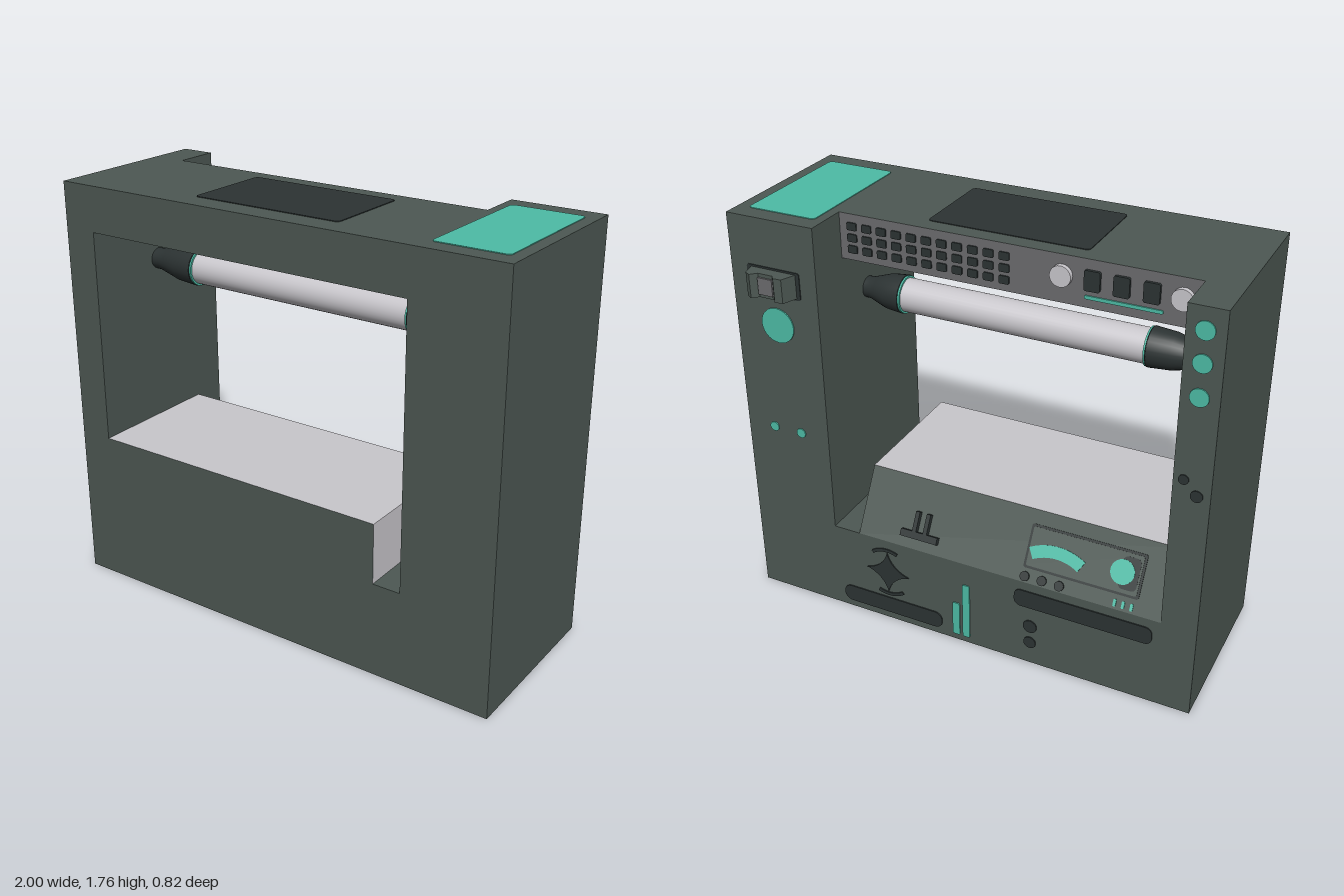
import * as THREE from 'three';

const mat = (name, color) => Object.assign(new THREE.MeshStandardMaterial({ color }), { name });

export function createModel() {
  const body = mat('body green grey', 0x4d5853);
  const dark = mat('dark charcoal', 0x2c3333);
  const teal = mat('teal', 0x4dbca6);
  const light = mat('light grey', 0xc9c7cc);
  const grey = mat('panel grey', 0x6c6c6f);

  const model = new THREE.Group();
  model.name = 'machine';
  const BACK = -0.335, FRONT = 0.41, TOP = 1.755;

  const add = (parent, name, geo, material, x = 0, y = 0, z = 0) => {
    const m = new THREE.Mesh(geo, material);
    m.name = name;
    m.position.set(x, y, z);
    parent.add(m);
    return m;
  };
  // box given by its limits
  const block = (parent, name, material, x0, x1, y0, y1, z0, z1) =>
    add(parent, name, new THREE.BoxGeometry(x1 - x0, y1 - y0, z1 - z0), material,
      (x0 + x1) / 2, (y0 + y1) / 2, (z0 + z1) / 2);
  // surface group whose local -z points outwards
  const face = (name, y, z, rx = 0) => {
    const g = new THREE.Group();
    g.name = name;
    g.position.set(0, y, z);
    g.rotation.x = rx;
    model.add(g);
    return g;
  };
  // thin plate standing out from a face
  const plate = (parent, name, shape, material, x, y, depth = 0.005) =>
    add(parent, name, new THREE.ExtrudeGeometry(shape, { depth, bevelEnabled: false, curveSegments: 14 }),
      material, x, y, -depth);
  const rounded = (w, h, r) => {
    const s = new THREE.Shape(), a = w / 2, b = h / 2;
    s.absarc(a - r, b - r, r, 0, Math.PI / 2);
    s.absarc(-a + r, b - r, r, Math.PI / 2, Math.PI);
    s.absarc(-a + r, -b + r, r, Math.PI, Math.PI * 1.5);
    s.absarc(a - r, -b + r, r, Math.PI * 1.5, Math.PI * 2);
    return s;
  };
  const disc = (r) => new THREE.Shape().absarc(0, 0, r, 0, Math.PI * 2);
  const arcBand = (r0, r1, a0, a1) =>
    new THREE.Shape().absarc(0, 0, r1, a0, a1, false).absarc(0, 0, r0, a1, a0, true);

  // frame
  block(model, 'leftPillar', body, 0.61, 1, 0, TOP, BACK, FRONT);
  block(model, 'rightPillar', body, -1, -0.855, 0, TOP, BACK, FRONT);
  block(model, 'base', body, -0.855, 0.61, 0, 0.405, BACK, FRONT);
  const bar = block(model, 'topBar', body, -0.855, 0.61, 1.565, TOP, -0.145, FRONT);
  bar.material = [body, body, body, body, body, grey];

  // desk block with its back sloped
  const desk = block(model, 'desk', body, -0.855, 0.49, 0.405, 0.662, BACK, FRONT);
  const p = desk.geometry.attributes.position;
  for (let i = 0; i < p.count; i++) if (p.getY(i) > 0 && p.getZ(i) < 0) p.setZ(i, p.getZ(i) + 0.15);
  desk.geometry.computeVertexNormals();
  desk.material = [light, body, light, body, body, body];

  // roller with tapered end caps
  const roller = new THREE.Group();
  roller.name = 'roller';
  roller.position.set(0, 1.37, 0.035);
  model.add(roller);
  const tube = add(roller, 'rollerTube', new THREE.CylinderGeometry(0.07, 0.07, 1.06, 32), light, -0.095);
  tube.rotation.z = Math.PI / 2;
  for (const [x, wall, side, name] of [[0.43, 0.61, 1, 'left'], [-0.62, -0.855, -1, 'right']]) {
    const len = Math.abs(wall - x);
    const profile = [[0, 0], [0.08, 0], [0.08, 0.02], [0.073, 0.4], [0.055, 0.7], [0.046, 0.85], [0.044, 1]]
      .map(([r, t]) => new THREE.Vector2(r, t * len));
    const cap = add(roller, name + 'RollerCap', new THREE.LatheGeometry(profile, 28), dark, x);
    cap.rotation.z = -side * Math.PI / 2;
    const ring = add(roller, name + 'RollerRing', new THREE.CylinderGeometry(0.078, 0.078, 0.008, 28), teal, x - side * 0.004);
    ring.rotation.z = Math.PI / 2;
  }

  // top plates
  const top = face('topPlates', TOP, 0, Math.PI / 2);
  plate(top, 'tealTopPlate', rounded(0.3, 0.59, 0.018), teal, 0.8, 0.037, 0.003);
  plate(top, 'darkTopPlate', rounded(0.66, 0.385, 0.018), dark, -0.07, 0.118, 0.003);

  // control panel: key grid, buttons, knobs
  const panel = face('controlPanel', 0, -0.145);
  for (let c = 0; c < 11; c++)
    for (let r = 0; r < 3; r++)
      plate(panel, 'key', rounded(0.042, 0.032, 0.006), dark, 0.555 - c * 0.065, 1.705 - r * 0.047, 0.006);
  for (const x of [-0.325, -0.785]) {
    const knob = add(panel, 'panelKnob', new THREE.CylinderGeometry(0.042, 0.042, 0.02, 24), light, x, 1.675, -0.01);
    knob.rotation.x = Math.PI / 2;
  }
  for (const x of [-0.445, -0.557, -0.67])
    plate(panel, 'panelButton', rounded(0.062, 0.08, 0.008), dark, x, 1.675, 0.012);
  plate(panel, 'panelStripe', rounded(0.3, 0.014, 0.006), teal, -0.565, 1.607);

  // back face details
  const back = face('backDetails', 0, BACK);
  for (const [x, y, r, m] of [
    [0.805, 1.313, 0.075, teal], [0.87, 0.834, 0.021, teal], [0.74, 0.834, 0.021, teal],
    [-0.925, 1.668, 0.036, teal], [-0.925, 1.544, 0.036, teal], [-0.925, 1.413, 0.036, teal],
    [-0.895, 1.073, 0.02, dark], [-0.948, 1.015, 0.024, dark],
    [-0.307, 0.19, 0.03, dark], [-0.307, 0.107, 0.027, dark]])
    plate(back, 'backDot', disc(r), m, x, y);
  plate(back, 'lowerSlot', rounded(0.48, 0.078, 0.035), dark, 0.34, 0.072);
  plate(back, 'upperSlot', rounded(0.59, 0.08, 0.03), dark, -0.53, 0.325);
  plate(back, 'shortBar', rounded(0.033, 0.165, 0.008), teal, 0.032, 0.112);
  plate(back, 'tallBar', rounded(0.033, 0.27, 0.008), teal, -0.015, 0.165);

  // four pointed star between two arcs
  const star = new THREE.Shape().moveTo(0.1, 0);
  for (let i = 1; i <= 4; i++) {
    const a = i * Math.PI / 2, m = a - Math.PI / 4;
    star.quadraticCurveTo(0.03 * Math.cos(m), 0.03 * Math.sin(m), 0.1 * Math.cos(a), 0.1 * Math.sin(a));
  }
  plate(back, 'star', star, dark, 0.357, 0.245);
  for (const a of [0.9, 0.9 + Math.PI])
    plate(back, 'starArc', arcBand(0.105, 0.12, a, a + 1.1), dark, 0.357, 0.245);

  // latch: forked outline with a grey centre
  const fork = new THREE.Shape([[0.70, 0], [0.905, 0], [0.89, -0.06], [0.865, -0.075], [0.84, -0.05],
    [0.775, -0.05], [0.76, -0.068], [0.725, -0.065]].map(([x, z]) => new THREE.Vector2(x, -z)));
  const latch = add(back, 'latch', new THREE.ExtrudeGeometry(fork, { depth: 0.1, bevelEnabled: false }), body, 0, 1.45, 0);
  latch.rotation.x = -Math.PI / 2;
  plate(back, 'latchPlate', rounded(0.24, 0.115, 0.01), dark, 0.805, 1.5, 0.004);
  block(back, 'latchCentre', grey, 0.775, 0.84, 1.465, 1.535, -0.058, 0);

  // sloped console
  const slope = face('slopeConsole', 0.405, BACK, Math.atan2(0.15, 0.257));
  plate(slope, 'displayFrame', rounded(0.49, 0.18, 0.01), dark, -0.505, 0.15, 0.004);
  plate(slope, 'displayPlate', rounded(0.47, 0.16, 0.008), body, -0.505, 0.15, 0.006);
  plate(slope, 'dialShade', rounded(0.075, 0.13, 0.02), dark, -0.695, 0.15, 0.007);
  plate(slope, 'dial', disc(0.05), teal, -0.665, 0.15, 0.009);
  plate(slope, 'gauge', arcBand(0.2, 0.25, Math.PI * 0.34, Math.PI * 0.66), teal, -0.39, -0.075, 0.009);
  for (const x of [-0.275, -0.35, -0.425]) plate(slope, 'slopeButton', disc(0.02), dark, x, 0.025, 0.008);
  for (const x of [-0.66, -0.695, -0.73]) plate(slope, 'slopeLight', rounded(0.012, 0.03, 0.005), teal, x, 0.025);

  // lever with two prongs
  block(slope, 'leverBar', dark, 0.125, 0.295, 0.045, 0.075, -0.022, 0);
  for (const x of [0.185, 0.235]) block(slope, 'leverProng', dark, x - 0.009, x + 0.009, 0.07, 0.16, -0.022, 0);

  return model;
}
